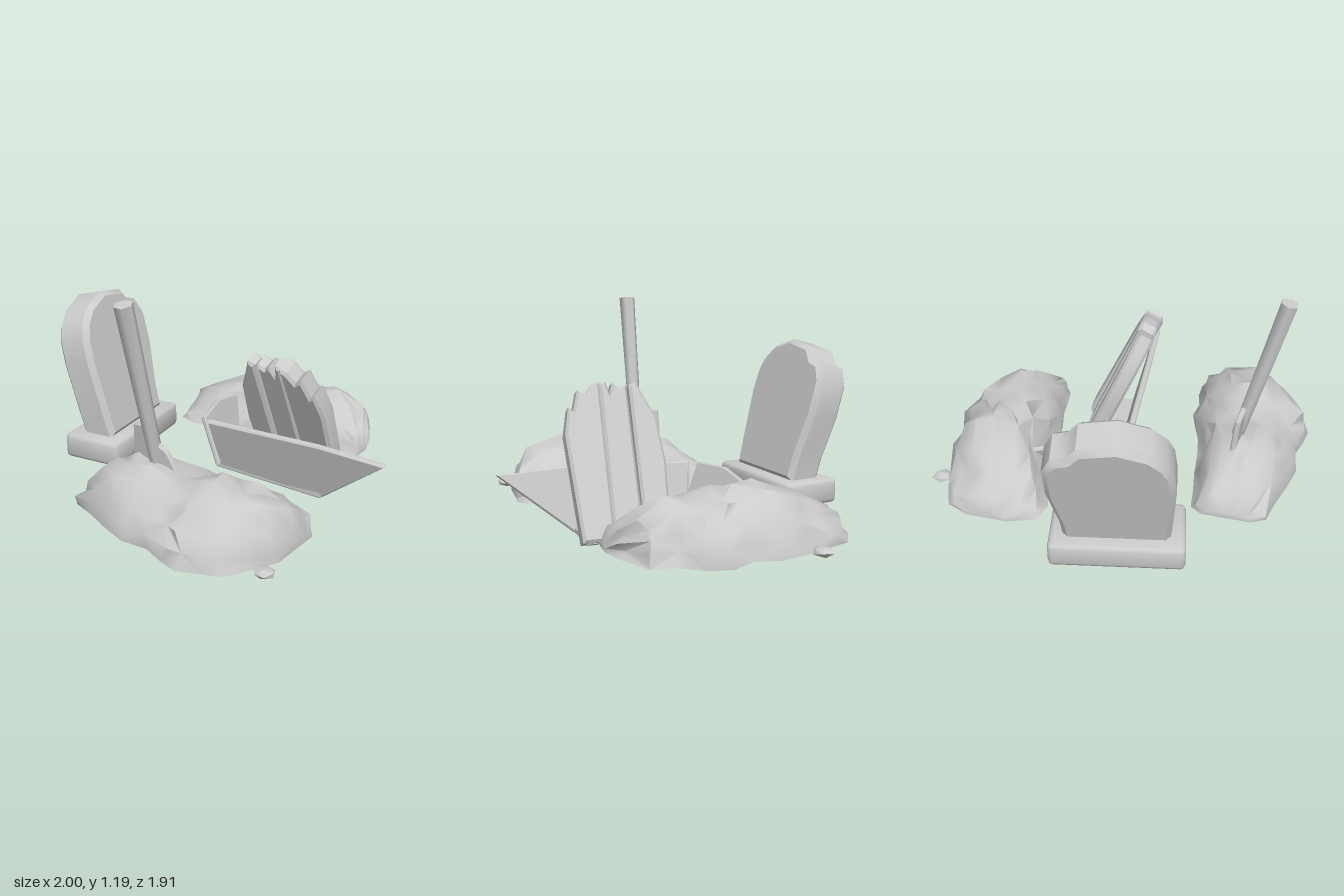
import * as THREE from 'three';
import { toCreasedNormals, mergeVertices } from 'three/addons/utils/BufferGeometryUtils.js';
import { RoundedBoxGeometry } from 'three/addons/geometries/RoundedBoxGeometry.js';

const grey = new THREE.MeshStandardMaterial({ color: 0xcccccc, side: THREE.DoubleSide });
const V = (x, y, z) => new THREE.Vector3(x, y, z);

function seeded(seed) {
  let s = seed;
  return () => (s = (s * 16807) % 2147483647) / 2147483647;
}

function add(parent, name, geometry, crease = 0.6) {
  const mesh = new THREE.Mesh(toCreasedNormals(geometry, crease), grey);
  mesh.name = name;
  parent.add(mesh);
  return mesh;
}

// Flat board: outline [u, v] points extruded along u x v
function board(parent, name, outline, origin, u, v, depth, bevel = 0.008, crease = 0.5) {
  const shape = new THREE.Shape(outline.map(([a, b]) => new THREE.Vector2(a, b)));
  const geo = new THREE.ExtrudeGeometry(shape, {
    depth: depth - 2 * bevel, bevelThickness: bevel, bevelSize: bevel, bevelOffset: -bevel, bevelSegments: 1,
  });
  geo.translate(0, 0, bevel);
  const w = u.clone().cross(v).normalize();
  geo.applyMatrix4(new THREE.Matrix4().makeBasis(u, v, w).setPosition(origin));
  return add(parent, name, geo, crease);
}

// Earth mound: arched, lumpy cross-sections [z, xMin, xMax, topY] lofted along z
function mound(parent, name, sections, seed) {
  const rnd = seeded(seed), ground = 0.07, n = 12;
  const pos = [], idx = [];
  sections.forEach(([z, x0, x1, top], k) => {
    const end = k === 0 || k === sections.length - 1;
    for (let i = 0; i < n; i++) {
      const a = (Math.PI * i) / (n - 1);
      const rim = i === 0 || i === n - 1;
      const f = end || rim ? 1 : 1.06 - 0.24 * rnd();
      const x = (x0 + x1) / 2 - ((x1 - x0) / 2) * Math.cos(a) * Math.min(f, 1.03);
      const y = ground + (top - ground) * Math.pow(Math.max(Math.sin(a), 0), 1.05) * f;
      pos.push(x, y, z + (end || rim ? 0 : 0.07 * (rnd() - 0.5)));
    }
  });
  const m = sections.length;
  for (let k = 0; k < m - 1; k++) {
    for (let i = 0; i < n; i++) {
      const j = (i + 1) % n;
      const a = k * n + i, b = k * n + j, c = a + n, d = b + n;
      if ((i + k) % 2) idx.push(a, c, b, b, c, d);
      else idx.push(a, c, d, a, d, b);
    }
  }
  const last = (m - 1) * n;
  for (let i = 1; i < n - 1; i++) idx.push(0, i, i + 1, last, last + i + 1, last + i);
  const geo = new THREE.BufferGeometry();
  geo.setAttribute('position', new THREE.Float32BufferAttribute(pos, 3));
  geo.setIndex(idx);
  return add(parent, name, geo, 1.0);
}

// Small stone: squashed, jittered icosahedron
function pebble(parent, name, x, y, z, sx, sy, sz, seed) {
  const rnd = seeded(seed);
  let geo = new THREE.IcosahedronGeometry(1, 0);
  geo.deleteAttribute('normal');
  geo.deleteAttribute('uv');
  geo = mergeVertices(geo);
  const p = geo.attributes.position;
  for (let i = 0; i < p.count; i++) {
    const f = 0.85 + 0.3 * rnd();
    p.setXYZ(i, x + p.getX(i) * sx * f, y + p.getY(i) * sy * f, z + p.getZ(i) * sz * f);
  }
  return add(parent, name, geo, 0.8);
}

function makeGrave() {
  const grave = new THREE.Group();
  grave.name = 'gravestone';
  const plinth = add(grave, 'plinth', new RoundedBoxGeometry(0.68, 0.14, 0.34, 1, 0.025), 0.9);
  plinth.position.set(-0.13, 0.14, -0.67);
  plinth.rotation.y = 0.19;

  // Worn arched slab leaning back, chipped at one shoulder
  const outline = [[-0.27, 0], [-0.28, 0.15], [-0.29, 0.45], [-0.275, 0.58], [-0.24, 0.66], [-0.17, 0.73], [-0.02, 0.785],
    [0.16, 0.755], [0.21, 0.69], [0.28, 0.67], [0.325, 0.58], [0.32, 0.4], [0.27, 0.15], [0.26, 0]];
  const slab = board(grave, 'headstone', outline, V(0, 0, -0.1), V(1, 0, 0), V(0, 1, 0), 0.2, 0.028, 0.7);
  slab.position.set(-0.12, 0.18, -0.66);
  slab.rotation.set(-0.25, 0.19, 0, 'YXZ');
  return grave;
}

function makeShovel() {
  const shovel = new THREE.Group();
  shovel.name = 'shovel';
  const top = V(-0.812, 1.175, 0.035), foot = V(-0.62, 0.32, 0.035);
  const dir = top.clone().sub(foot);
  const handle = add(shovel, 'handle', new THREE.CylinderGeometry(0.046, 0.036, dir.length(), 6), 1.1);
  handle.position.copy(top).add(foot).multiplyScalar(0.5);
  handle.quaternion.setFromUnitVectors(V(0, 1, 0), dir.normalize());
  // Blade sunk into the earth, its two wings folded around the handle
  const wing = (name, pts, skew) =>
    board(shovel, name, pts, V(-0.6, 0, 0.03), V(skew, 0, 1), V(-0.06, 1, 0), 0.03);
  wing('bladeBackWing', [[-0.14, 0.32], [-0.13, 0.51], [-0.02, 0.53], [0.01, 0.46], [0.01, 0.2]], -0.15);
  wing('bladeFrontWing', [[-0.01, 0.2], [-0.01, 0.47], [0.09, 0.41], [0.14, 0.31]], 0.1);
  return shovel;
}

function makeCoffin() {
  const coffin = new THREE.Group();
  coffin.name = 'brokenCoffin';
  const alongZ = V(0, 0, 1);
  // Leaning lid of three splintered planks: outline, foot x, lean, thickness
  const lid = [
    [[[0.57, 0], [0.605, 0.56], [0.575, 0.7], [0.55, 0.68], [0.52, 0.79], [0.48, 0.76], [0.44, 0.82], [0.4, 0.83], [0.405, 0]],
      0.325, -0.42, 0.11],
    [[[0.405, 0], [0.4, 0.82], [0.365, 0.83], [0.35, 0.76], [0.33, 0.82], [0.295, 0.79], [0.255, 0.81], [0.25, 0.02]],
      0.3, -0.39, 0.095],
    [[[0.24, 0.01], [0.24, 0.8], [0.2, 0.82], [0.165, 0.74], [0.11, 0.62], [0.085, 0.38], [0.1, 0.05]],
      0.29, -0.39, 0.09],
  ];
  lid.forEach(([pts, x, lean, thick], i) =>
    board(coffin, 'lidPlank' + (i + 1), pts, V(x, 0.03, 0), alongZ, V(lean, 0.91, 0), thick, 0.015));
  // Side wall ending in a long splinter
  board(coffin, 'sideWall', [[0.95, 0.345], [0.57, 0.02], [-0.07, 0.04], [-0.1, 0.33], [0.58, 0.36]],
    V(0.06, 0, 0), V(0.066, 0, 1), V(-0.26, 0.97, 0), 0.035);
  // End wall, torn off to a point
  board(coffin, 'endWall', [[0, 0.04], [0.3, 0.04], [0.41, 0.13], [0.5, 0.27], [0.25, 0.335], [0.02, 0.32]],
    V(-0.02, 0, -0.06), V(0.97, 0, -0.3), V(-0.1, 0.96, -0.32), 0.03);
  // Floor
  board(coffin, 'floor', [[0.05, 0.57], [0.3, 0.55], [0.27, 0.1], [0.25, -0.1], [0.02, -0.1]],
    V(0, 0.045, 0), V(1, 0, 0), V(0, 0, 1), 0.04);
  return coffin;
}

export function createModel() {
  const model = new THREE.Group();
  model.name = 'openGrave';
  model.add(makeGrave(), makeShovel(), makeCoffin());

  mound(model, 'rightMound', [
    [-0.36, -0.76, -0.5, 0.11], [-0.32, -0.84, -0.44, 0.21], [-0.2, -0.87, -0.43, 0.31], [-0.05, -0.92, -0.41, 0.35],
    [0.1, -0.96, -0.4, 0.36], [0.24, -0.94, -0.38, 0.35], [0.36, -0.98, -0.34, 0.36], [0.46, -1, -0.31, 0.38],
    [0.57, -0.95, -0.33, 0.36], [0.66, -0.91, -0.31, 0.32], [0.74, -0.77, -0.32, 0.25], [0.79, -0.66, -0.38, 0.11],
  ], 17);
  mound(model, 'leftMound', [
    [-0.66, 0.48, 0.7, 0.11], [-0.61, 0.33, 0.82, 0.2], [-0.5, 0.3, 0.86, 0.28], [-0.35, 0.34, 0.92, 0.34],
    [-0.2, 0.38, 0.96, 0.38], [-0.08, 0.42, 0.93, 0.38], [0.04, 0.41, 1, 0.36], [0.16, 0.42, 0.98, 0.34],
    [0.28, 0.45, 0.9, 0.35], [0.4, 0.46, 0.89, 0.29], [0.49, 0.47, 0.72, 0.21], [0.53, 0.5, 0.6, 0.1],
  ], 91);
  pebble(model, 'frontPebble', -0.79, 0.09, 0.8, 0.055, 0.025, 0.055, 5);
  pebble(model, 'backPebble', 0.93, 0.085, -0.42, 0.06, 0.025, 0.055, 23);
  return model;
}
